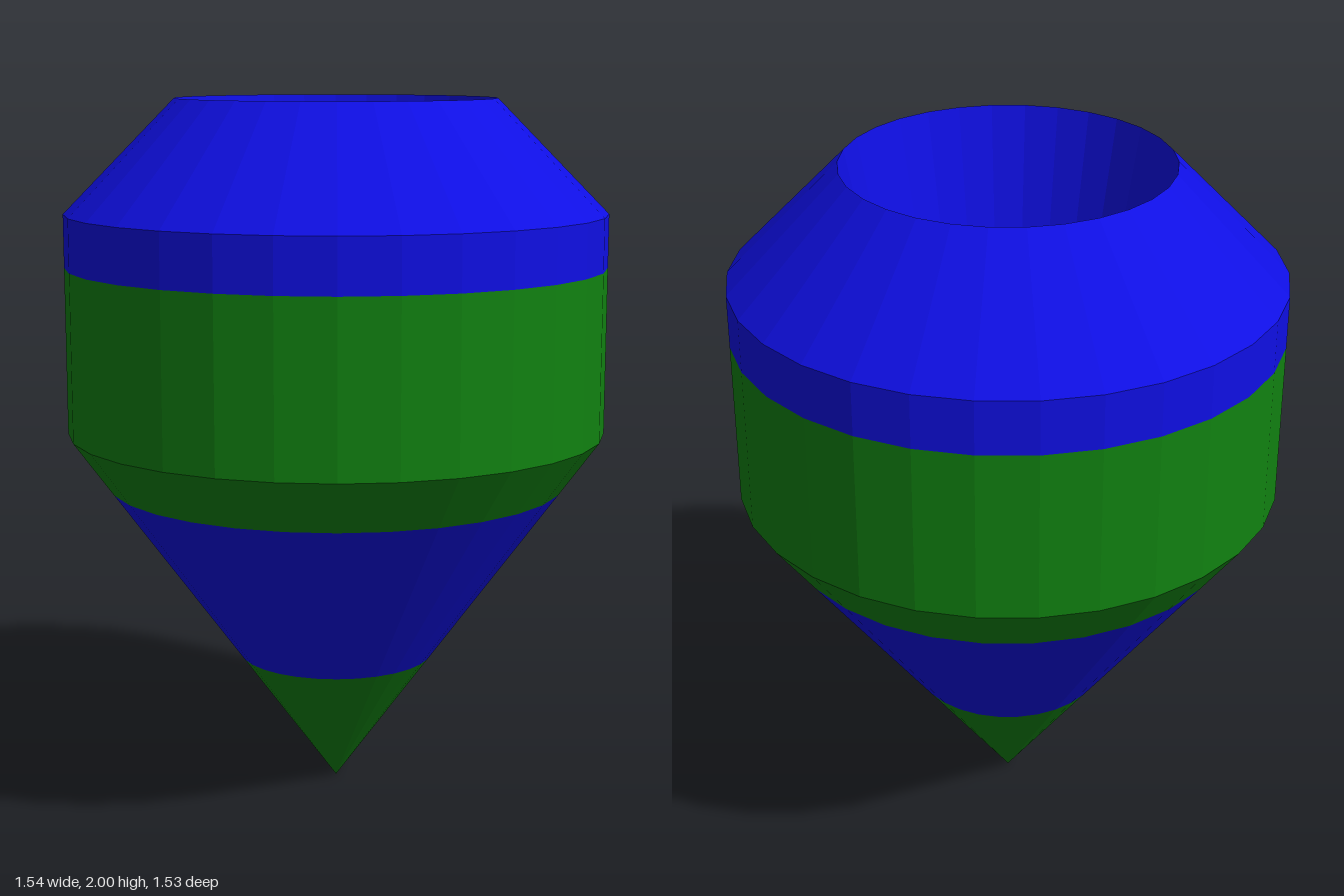
import * as THREE from 'three';

const SIDES = 30;

export function createModel() {
  const model = new THREE.Group();
  model.name = 'spinningTop';
  const blue = new THREE.MeshStandardMaterial({ color: 0x0f0fe4 });
  blue.name = 'blue';
  const green = new THREE.MeshStandardMaterial({ color: 0x118211 });
  green.name = 'green';

  // Faceted band turned from [radius, height] points; upward profiles face out, downward ones face in
  function band(name, material, profile) {
    const points = profile.map(([r, y]) => new THREE.Vector2(r, y));
    const geometry = new THREE.LatheGeometry(points, SIDES, Math.PI / SIDES).toNonIndexed();
    geometry.computeVertexNormals();
    const mesh = new THREE.Mesh(geometry, material);
    mesh.name = name;
    model.add(mesh);
  }

  // Outside, from the point up to the rim
  band('tip', green, [[0, 0], [0.281, 0.385]]);
  band('lowerCone', blue, [[0.281, 0.385], [0.657, 0.9]]);
  band('bellyBand', green, [[0.657, 0.9], [0.77, 1.055], [0.77, 1.53]]);
  band('shoulder', blue, [[0.77, 1.53], [0.77, 1.68], [0.455, 2]]);

  // Inside of the opening, from the rim down to the raised floor
  band('upperInnerWall', blue, [[0.455, 2], [0.362, 1.53]]);
  band('lowerInnerWall', green, [[0.362, 1.53], [0.305, 1.25]]);
  band('innerFloor', green, [[0.305, 1.25], [0.045, 1.32]]);
  band('centrePin', green, [[0.045, 1.32], [0.025, 1.36], [0, 1.36]]);

  return model;
}
